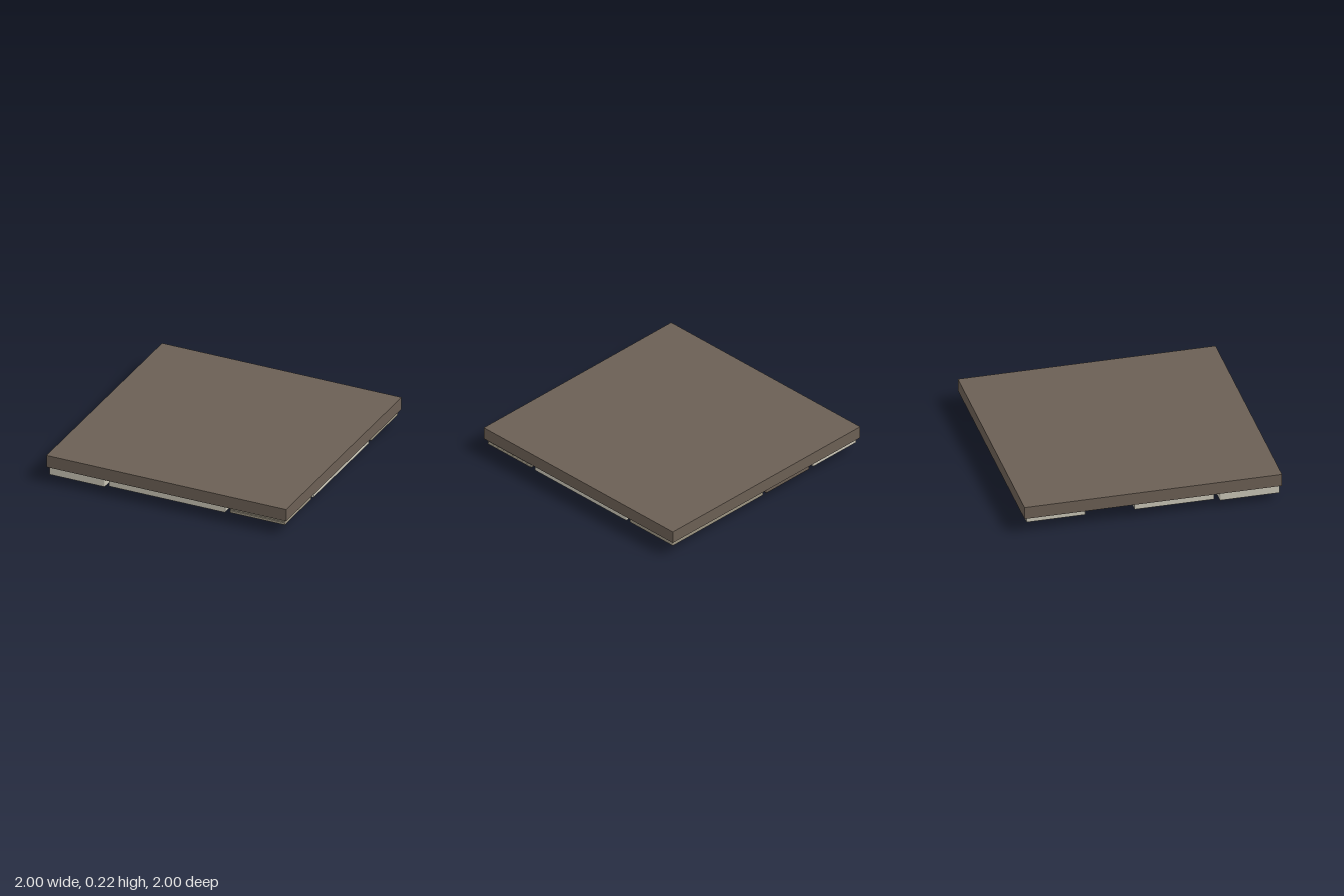
import * as THREE from 'three';
import { RoundedBoxGeometry } from 'three/addons/geometries/RoundedBoxGeometry.js';

const mat = (name, color) => Object.assign(new THREE.MeshStandardMaterial({ color }), { name });

export function createModel() {
  const model = new THREE.Group();
  model.name = 'panelledCeilingTile';
  const brown = mat('dark brown', 0x6b5f54);
  const cream = mat('pale stone', 0xc8c4b5);
  const tan = mat('dull tan', 0x9c9482);
  const metal = mat('grey metal', 0xaaa3a9);

  const SLAB_BOTTOM = 0.126;

  const add = (name, geometry, material, x, y, z, parent = model) => {
    const mesh = new THREE.Mesh(geometry, material);
    mesh.name = name;
    mesh.position.set(x, y, z);
    parent.add(mesh);
    return mesh;
  };

  // Soft-edged panel given by its x, y and z ranges
  const panel = (name, material, [x0, x1], [y0, y1], [z0, z1], radius = 0.008) =>
    add(name, new RoundedBoxGeometry(x1 - x0, y1 - y0, z1 - z0, 2, radius), material,
      (x0 + x1) / 2, (y0 + y1) / 2, (z0 + z1) / 2);

  // Backing slab
  add('slab', new THREE.BoxGeometry(2, 0.099, 2), brown, 0, 0.1755, 0);

  // Panels hung under the slab: name, material, x range, bottom, z range
  const panels = [
    ['backLongPanel', tan, [0.01, 0.98], 0.077, [-0.98, -0.52]],
    ['backDarkPanel', brown, [-0.48, -0.02], 0.078, [-0.98, -0.52]],
    ['backCornerPanel', cream, [-0.98, -0.52], 0.08, [-0.98, -0.52]],
    ['leftLongPanel', cream, [0.52, 0.98], 0.072, [-0.485, 0.485]],
    ['frontLongPanel', cream, [-0.49, 0.48], 0.067, [0.52, 0.98]],
    ['frontCornerPanel', cream, [-0.985, -0.52], 0.056, [0.52, 0.985]],
    ['rightPanel', cream, [-0.98, -0.52], 0.07, [-0.14, 0.48]],
  ];
  for (const [name, material, xs, bottom, zs] of panels)
    panel(name, material, xs, [bottom, SLAB_BOTTOM + 0.004], zs);

  // Central vent box
  panel('ventBox', tan, [-0.475, 0.475], [0.045, SLAB_BOTTOM + 0.004], [-0.475, 0.475], 0.01);

  // Tilted vent louvres
  for (const z of [-0.275, 0, 0.275]) {
    const louvre = add('louvre', new THREE.BoxGeometry(0.75, 0.022, 0.12), metal, 0, 0.029, z);
    louvre.rotation.x = 0.3;
  }

  // Two-layer access hatch in the front left corner, with corner bolts
  panel('hatchBase', tan, [0.52, 0.98], [0.102, SLAB_BOTTOM + 0.004], [0.52, 0.98], 0.006);
  panel('hatchCover', tan, [0.52, 0.98], [0.077, 0.1], [0.52, 0.98], 0.006);
  for (const x of [0.55, 0.95])
    for (const z of [0.55, 0.95])
      add('hatchBolt', new THREE.CylinderGeometry(0.01, 0.01, 0.028, 8), metal, x, 0.089, z);

  // Pull handles: a bar on two posts
  const handle = (x, z, top) => {
    const group = new THREE.Group();
    group.name = 'pullHandle';
    group.position.set(x, top, z);
    add('handleBar', new THREE.BoxGeometry(0.01, 0.01, 0.29), metal, 0, -0.027, 0, group);
    for (const s of [-1, 1])
      add('handlePost', new THREE.BoxGeometry(0.01, 0.03, 0.008), metal, 0, -0.013, s * 0.141, group);
    model.add(group);
  };
  handle(-0.755, 0.75, 0.056);
  handle(-0.25, -0.745, 0.078);

  return model;
}
